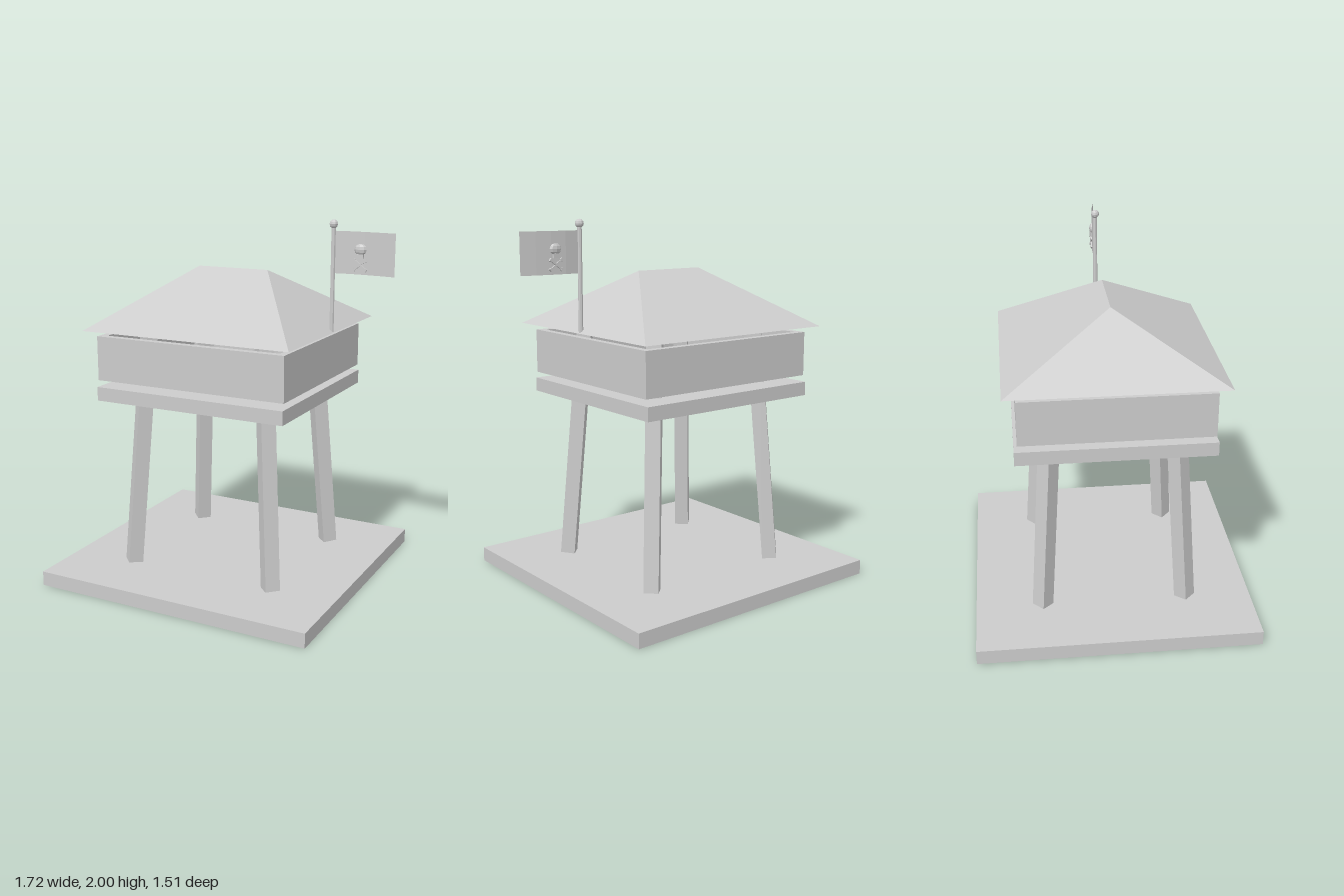
import * as THREE from 'three';

export function createModel() {
  const model = new THREE.Group();
  const grey = new THREE.MeshStandardMaterial({ color: 0xcccccc, flatShading: true });
  grey.name = 'plainGrey';
  const greyThin = grey.clone();
  greyThin.name = 'plainGreyCloth';
  greyThin.side = THREE.DoubleSide;

  function add(name, geometry, parent = model, material = grey) {
    const mesh = new THREE.Mesh(geometry, material);
    mesh.name = name;
    parent.add(mesh);
    return mesh;
  }
  // Box given by its lower and upper limits on each axis
  function slab(name, x0, x1, y0, y1, z0, z1) {
    const mesh = add(name, new THREE.BoxGeometry(x1 - x0, y1 - y0, z1 - z0));
    mesh.position.set((x0 + x1) / 2, (y0 + y1) / 2, (z0 + z1) / 2);
    return mesh;
  }

  // Ground slab and lookout floor
  slab('base', -0.86, 0.72, 0, 0.08, -0.757, 0.757);
  slab('floor', -0.62, 0.477, 1.03, 1.105, -0.517, 0.517);

  // Parapet: full-width front and back boards with side boards between them
  const t = 0.04;
  slab('frontWall', -0.62, 0.477, 1.14, 1.38, 0.463, 0.503);
  slab('backWall', -0.62, 0.477, 1.14, 1.38, -0.5, -0.46);
  slab('leftWall', 0.477 - t, 0.477, 1.14, 1.38, -0.46, 0.463);
  slab('rightWall', -0.62, -0.62 + t, 1.14, 1.38, -0.46, 0.463);

  // Square legs turned to the diagonal and leaning inwards
  const cx = -0.068;
  for (const sx of [-1, 1]) {
    for (const sz of [-1, 1]) {
      const foot = new THREE.Vector3(cx + sx * 0.427, 0.084, sz * 0.393);
      const head = new THREE.Vector3(cx + sx * 0.345, 1.381, sz * 0.315);
      const dir = head.clone().sub(foot);
      const leg = add('leg', new THREE.BoxGeometry(0.08, dir.length(), 0.08).rotateY(Math.PI / 4));
      leg.quaternion.setFromUnitVectors(new THREE.Vector3(0, 1, 0), dir.normalize());
      leg.position.copy(foot).add(head).multiplyScalar(0.5);
    }
  }

  // Hipped roof: a box whose top edge closes into a ridge
  const roof = new THREE.BoxGeometry(2, 2, 2);
  const p = roof.attributes.position;
  for (let i = 0; i < p.count; i++) {
    const right = p.getX(i) > 0;
    if (p.getY(i) > 0) p.setXYZ(i, right ? 0.14 : -0.275, 1.72, 0);
    else p.setXYZ(i, right ? 0.53 : -0.668, 1.415, Math.sign(p.getZ(i)) * 0.567);
  }
  roof.computeVertexNormals();
  add('roof', roof);

  // Flagpole with a ball on top
  const flagstaff = new THREE.Group();
  flagstaff.name = 'flagstaff';
  model.add(flagstaff);
  add('pole', new THREE.CylinderGeometry(0.012, 0.012, 0.555, 8), flagstaff).position.set(0.515, 1.6925, 0);
  add('poleBall', new THREE.SphereGeometry(0.023, 8, 6), flagstaff).position.set(0.515, 1.977, 0);

  // Gently waving flag
  const flag = new THREE.PlaneGeometry(0.335, 0.217, 4, 1);
  const wave = [0, -0.007, -0.003, 0.006, 0.02];
  const f = flag.attributes.position;
  for (let i = 0; i < f.count; i++) f.setZ(i, wave[i % 5]);
  flag.computeVertexNormals();
  add('flag', flag, flagstaff, greyThin).position.set(0.6875, 1.834, 0);

  // Raised skull and crossed bones, running through both sides of the cloth
  const emblem = new THREE.Group();
  emblem.name = 'flagEmblem';
  emblem.position.set(0.663, 1.8, -0.003);
  flagstaff.add(emblem);
  const skull = add('skull', new THREE.SphereGeometry(0.034, 8, 6), emblem);
  skull.scale.set(1, 0.85, 0.5);
  skull.position.y = 0.053;
  add('jaw', new THREE.BoxGeometry(0.036, 0.022, 0.024), emblem).position.y = 0.019;
  for (const s of [-1, 1]) {
    const bone = new THREE.Group();
    bone.name = 'bone';
    bone.position.y = -0.025;
    bone.rotation.z = s * 0.65;
    emblem.add(bone);
    add('boneShaft', new THREE.BoxGeometry(0.084, 0.009, 0.02), bone);
    for (const e of [-1, 1]) {
      add('boneEnd', new THREE.BoxGeometry(0.01, 0.016, 0.022), bone).position.x = e * 0.041;
    }
  }
  return model;
}
